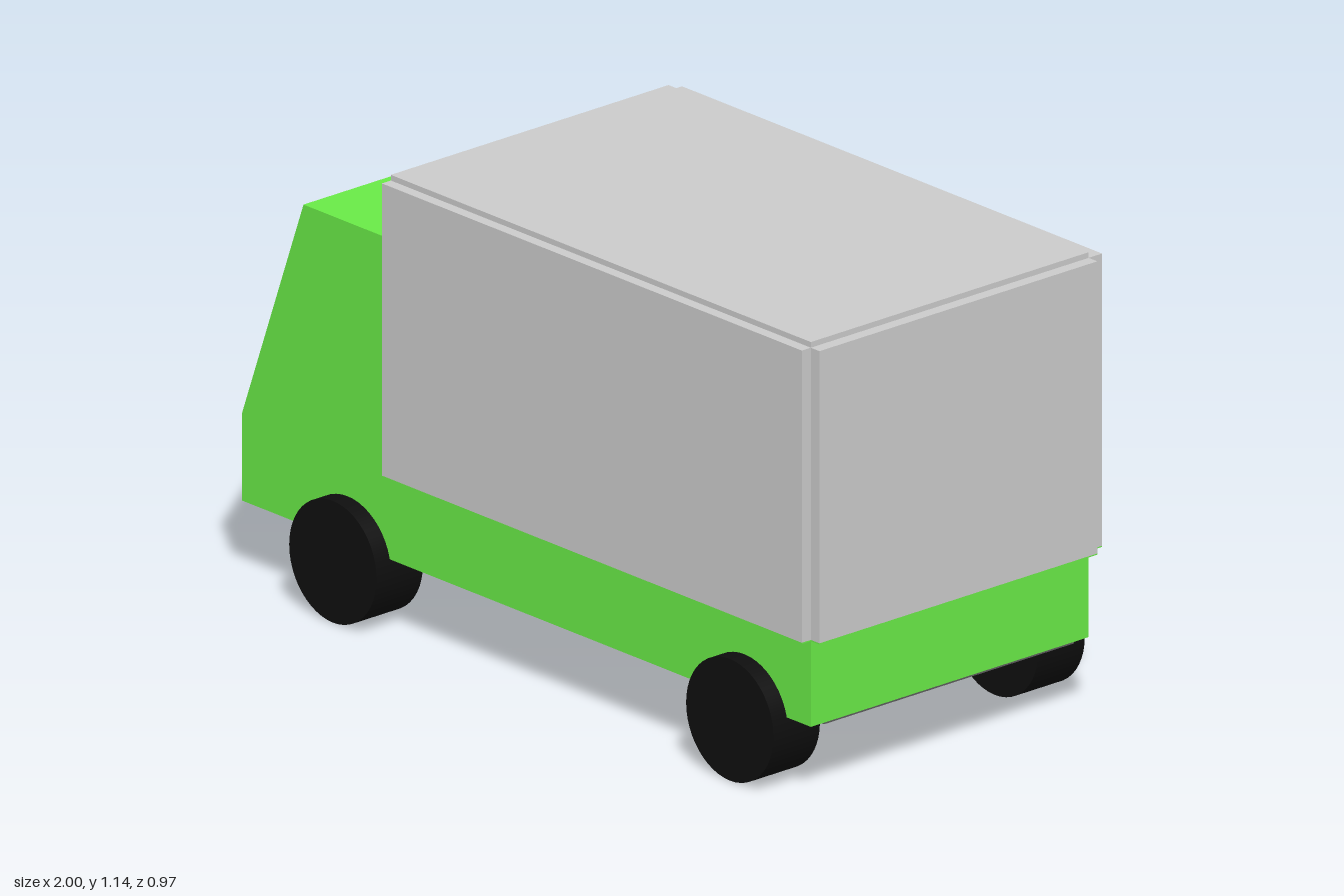
import * as THREE from 'three';

const material = (color) => new THREE.MeshStandardMaterial({ color });

export function createModel() {
  const truck = new THREE.Group();
  truck.name = 'boxTruck';
  const green = material(0x69ea47);
  const grey = material(0xcccccc);
  const dark = material(0x5c5c5c);
  const black = material(0x0e0e0e);

  const add = (name, geometry, mat) => {
    const mesh = new THREE.Mesh(geometry, mat);
    mesh.name = name;
    truck.add(mesh);
    return mesh;
  };
  // Box given by its limits on each axis
  const block = (name, mat, [x0, x1], [y0, y1], [z0, z1]) => {
    const mesh = add(name, new THREE.BoxGeometry(x1 - x0, y1 - y0, z1 - z0), mat);
    mesh.position.set((x0 + x1) / 2, (y0 + y1) / 2, (z0 + z1) / 2);
    return mesh;
  };

  const width = [-0.425, 0.441];
  const midZ = (width[0] + width[1]) / 2;

  // Cab and chassis: one side profile extruded across the width
  const profile = new THREE.Shape([
    [-1, 0.187], [0.968, 0.187], [0.968, 0.403], [-0.485, 0.403],
    [-0.485, 0.982], [-0.787, 0.982], [-1, 0.403],
  ].map(([x, y]) => new THREE.Vector2(x, y)));
  const body = add('cabAndChassis',
    new THREE.ExtrudeGeometry(profile, { depth: width[1] - width[0], bevelEnabled: false }), green);
  body.position.z = width[0];

  // Windscreen lying on the sloped cab front
  const dx = 0.213, dy = 0.579;
  const windscreen = add('windscreen',
    new THREE.BoxGeometry(Math.hypot(dx, dy) * 0.86, 0.008, 0.78), dark);
  windscreen.position.set(-1 + dx / 2, 0.403 + dy / 2, midZ);
  windscreen.rotation.z = Math.atan2(dy, dx);

  // Underbody plate
  block('underbodyPlate', dark, [-0.998, 0.966], [0.182, 0.19], [midZ - 0.39, midZ + 0.39]);

  // Cargo box: core with raised roof, side and rear panels
  const length = [-0.485, 0.968];
  const height = [0.403, 1.128];
  block('cargoRoof', grey, length, [0.403, 1.142], width);
  block('rearPanel', grey, [0.968, 0.998], height, width);
  block('leftSidePanel', grey, length, height, [width[1], 0.469]);
  block('rightSidePanel', grey, length, height, [-0.467, width[0]]);

  // Green sills closing the panels from below
  const sill = [0.4, 0.403];
  block('sideSills', green, length, sill, [-0.467, 0.469]);
  block('rearSill', green, [0.968, 0.998], sill, width);

  // Wheels
  const wheelGeometry = new THREE.CylinderGeometry(0.151, 0.151, 0.145, 48).rotateX(Math.PI / 2);
  for (const [end, x] of [['front', -0.635], ['rear', 0.738]]) {
    for (const [side, z] of [['Left', 0.414], ['Right', -0.412]]) {
      add(`${end}${side}Wheel`, wheelGeometry, black).position.set(x, 0.151, z);
    }
  }
  return truck;
}
